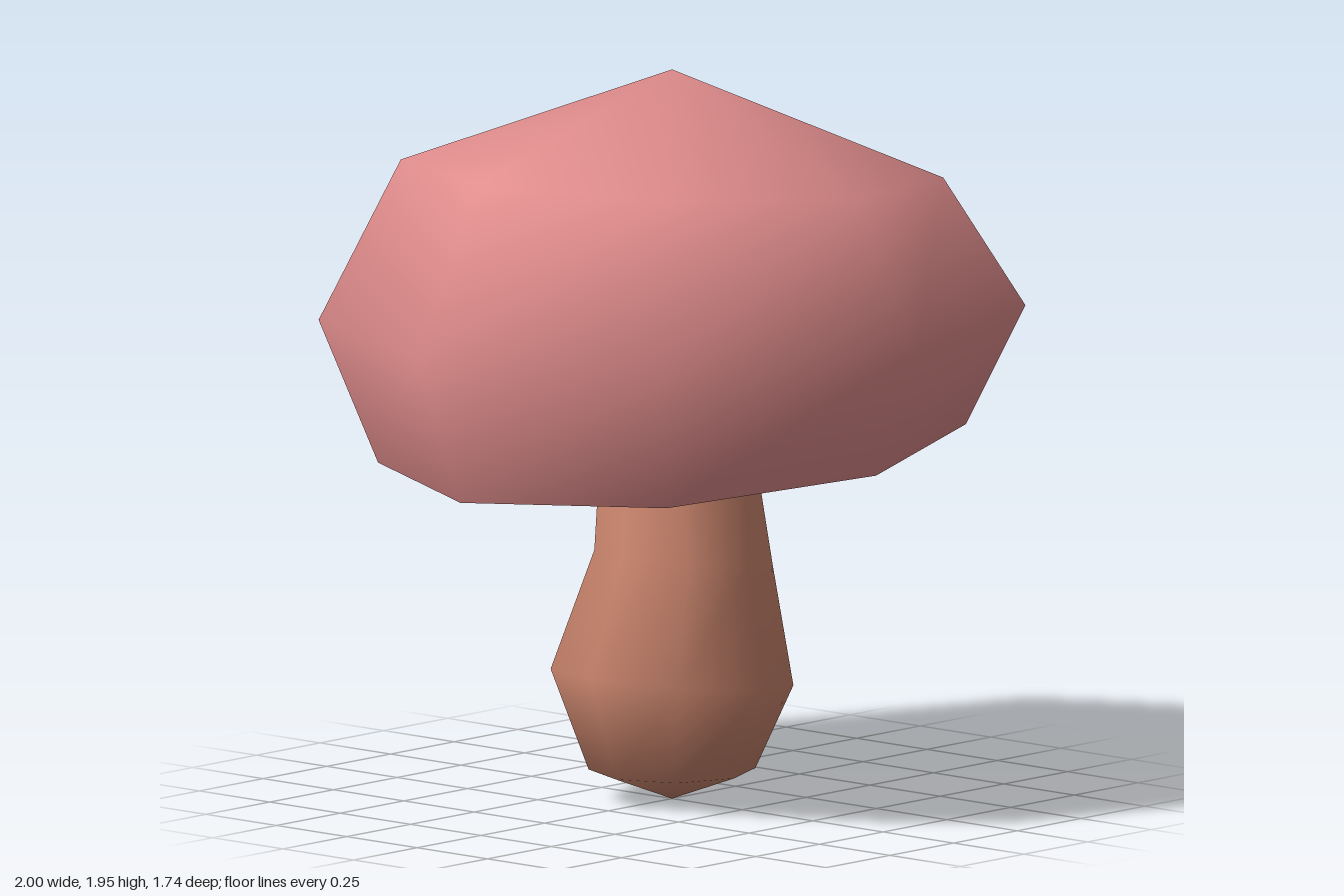
import * as THREE from 'three';
import { mergeVertices } from 'three/addons/utils/BufferGeometryUtils.js';

const SIDES = 8;

// Smooth skin over tilted elliptical rings, each [y, radiusX, radiusZ, rise at +x, centre x].
// Rings listed upwards face outwards; listed downwards they face inwards.
function skin(rings) {
  const pos = [], index = [];
  rings.forEach(([y, rx, rz, tilt = 0, cx = 0]) => {
    for (let i = 0; i < SIDES; i++) {
      const a = (i / SIDES) * Math.PI * 2;
      pos.push(cx + rx * Math.cos(a), y + tilt * Math.cos(a), rz * Math.sin(a));
    }
  });
  for (let j = 0; j < rings.length - 1; j++) {
    for (let i = 0; i < SIDES; i++) {
      const k = (i + 1) % SIDES;
      const a = j * SIDES + i, b = j * SIDES + k;
      const c = a + SIDES, d = b + SIDES;
      if (rings[j][1] > 0) index.push(a, c, b);
      if (rings[j + 1][1] > 0) index.push(b, c, d);
    }
  }
  const g = new THREE.BufferGeometry();
  g.setAttribute('position', new THREE.Float32BufferAttribute(pos, 3));
  g.setIndex(index);
  const merged = mergeVertices(g, 1e-4); // join the points at the poles
  merged.computeVertexNormals();
  return merged;
}

function material(name, color) {
  const m = new THREE.MeshStandardMaterial({ color });
  m.name = name;
  return m;
}

export function createModel() {
  const model = new THREE.Group();
  model.name = 'mushroom';
  const add = (name, rings, mat) => {
    const mesh = new THREE.Mesh(skin(rings), mat);
    mesh.name = name;
    model.add(mesh);
  };
  const rim = [0.95, 0.83, 0.725, 0.05];

  // Lopsided cap, rim to peak
  add('cap', [
    rim,
    [1.3, 1, 0.87],
    [1.685, 0.765, 0.67, -0.055],
    [1.95, 0, 0],
  ], material('pink', 0xe08c8c));

  // Hollow underside, from its centre down to the rim
  add('gills', [[1.22, 0, 0], rim], material('tan', 0xc9ba9a));

  // Bulbous, slightly bent stem
  add('stem', [
    [0, 0, 0],
    [0.08, 0.22, 0.22],
    [0.325, 0.32, 0.32, -0.035],
    [0.64, 0.235, 0.235, -0.03, 0.045],
    [1.22, 0.17, 0.175],
    [1.25, 0, 0],
  ], material('terracotta', 0xcc866e));

  return model;
}
